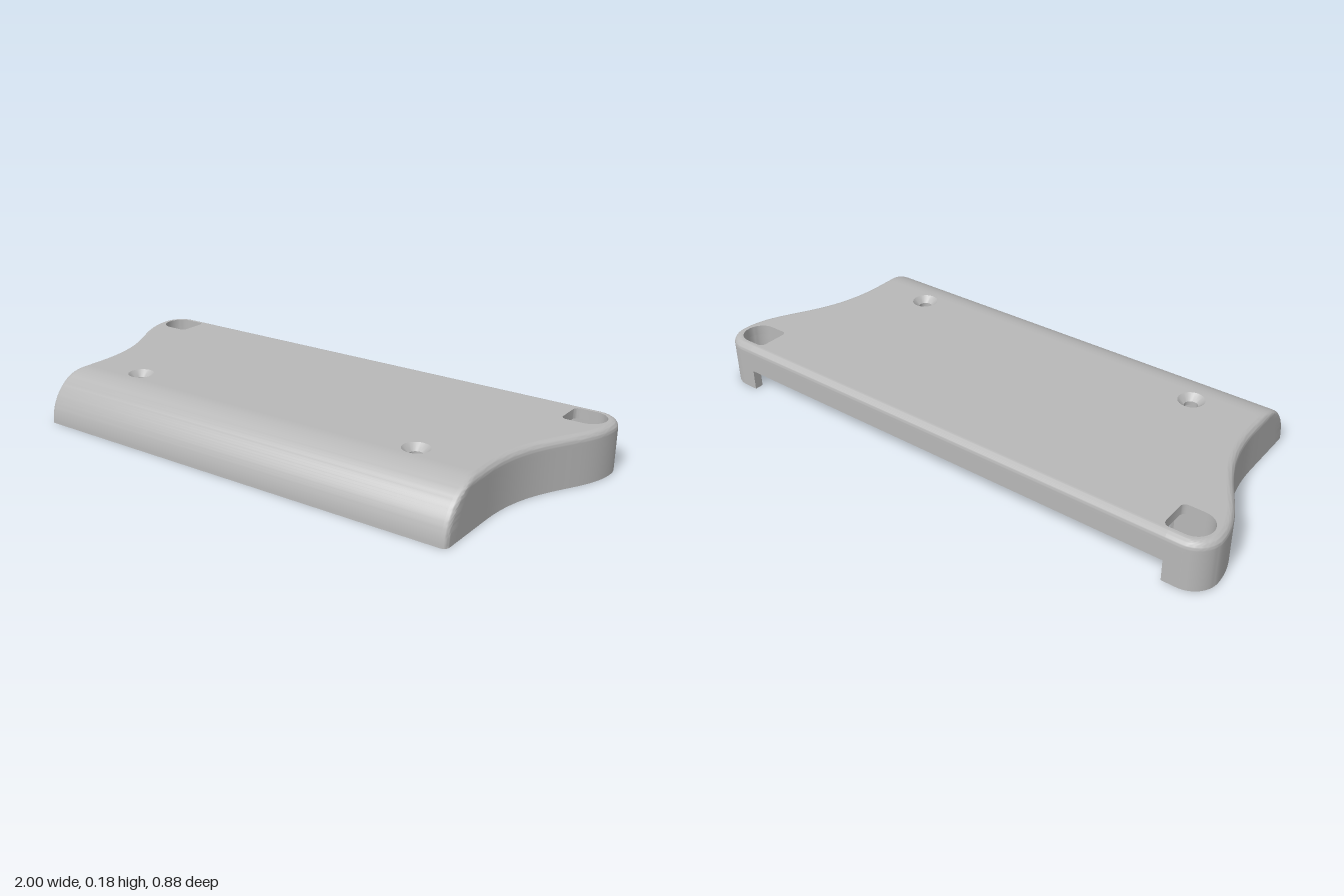
import * as THREE from 'three';
import { toCreasedNormals } from 'three/addons/utils/BufferGeometryUtils.js';

const H = 0.176;        // overall height, also the radius of the rounded front
const CEILING = 0.14;   // underside of the top plate
const EDGE = 0.025;     // rounding of the top edges
const BACK = -0.44, BACK_IN = -0.408;
const SLOT_X = 0.86, SLOT_Y = 0.076;   // opening under the back lip
const SCREW_X = 0.585, SCREW_Z = 0.21, SCREW_R = 0.024, SINK_R = 0.047;

const shellMaterial = new THREE.MeshStandardMaterial({ color: 0xb8b8b8, side: THREE.DoubleSide });
shellMaterial.name = 'light grey';

// Points [x, z] of an arc, angles in degrees
function arc(cx, cz, r, from, to, n = 10) {
  return Array.from({ length: n + 1 }, (_, i) => {
    const a = THREE.MathUtils.degToRad(from + (to - from) * i / n);
    return [cx + r * Math.cos(a), cz + r * Math.sin(a)];
  });
}

const mirror = (points) => points.map(([x, ...rest]) => [-x, ...rest]);
const bothSides = (half) => [...half, ...mirror(half).reverse()];

// Fixed part of the +x outline, from back to front: [x, z, normal x, normal z]
function baseOutline() {
  const points = [[SLOT_X, BACK, 0, -1], [SLOT_X, BACK, 0, -1]];
  for (const [x, z] of arc(0.91, -0.35, 0.09, -90, 0, 14)) {
    points.push([x, z, (x - 0.91) / 0.09, (z + 0.35) / 0.09]);
  }
  const flare = new THREE.CubicBezierCurve(
    new THREE.Vector2(1, -0.35), new THREE.Vector2(1, -0.17),
    new THREE.Vector2(0.83, -0.1), new THREE.Vector2(0.83, 0.2));
  for (let i = 1; i <= 28; i++) {
    const p = flare.getPoint(i / 28), t = flare.getTangent(i / 28);
    points.push([p.x, p.y, t.y, -t.x]);
  }
  return points;
}
const base = baseOutline();

// Closed outline [x, z] at height y, drawn in at the top edge and the round front
function outlineAt(y) {
  const up = Math.max(0, y - (H - EDGE));
  const inset = EDGE - Math.sqrt(Math.max(0, EDGE * EDGE - up * up));
  const front = H * 1.5 + Math.sqrt(Math.max(0, H * H - y * y));
  const half = base.map(([x, z, nx, nz]) => [x - nx * inset, z - nz * inset]);
  const side = 0.83 - inset, corner = 0.02;
  for (let i = 1; i < 5; i++) half.push([side, 0.2 + (front - corner - 0.2) * i / 5]);
  half.push(...arc(side - corner, front - corner, corner, 0, 90, 6));
  return bothSides(half);
}

// Outer skin: outlines stacked from the base to the top face
function skinGeometry() {
  const levels = 28, positions = [], index = [];
  let n = 0;
  for (let k = 0; k <= levels; k++) {
    const y = H * Math.sin(Math.PI / 2 * k / levels);
    const ring = outlineAt(y);
    n = ring.length;
    ring.forEach(([x, z], i) => {
      const overSlot = i === 0 || i === n - 1;
      positions.push(x, overSlot ? Math.max(y, SLOT_Y) : y, z);
    });
  }
  for (let k = 0; k < levels; k++) {
    for (let i = 0; i < n; i++) {
      const a = k * n + i, b = k * n + (i + 1) % n;
      index.push(a, a + n, b, b, a + n, b + n);
    }
  }
  return meshGeometry(positions, index);
}

function meshGeometry(positions, index) {
  const g = new THREE.BufferGeometry();
  g.setAttribute('position', new THREE.Float32BufferAttribute(positions, 3));
  g.setIndex(index);
  return toCreasedNormals(g, 0.6);
}

// Upright wall along a path of [x, z] points
function wall(path, y0, y1) {
  const positions = [], index = [];
  path.forEach(([x, z], i) => {
    positions.push(x, y0, z, x, y1, z);
    if (i) {
      const a = 2 * i - 2;
      index.push(a, a + 2, a + 1, a + 1, a + 2, a + 3);
    }
  });
  return meshGeometry(positions, index);
}

// Level face with holes, facing up or down
function flat(outline, holes, y, up) {
  const s = up ? -1 : 1;
  const vectors = (pts) => pts.map(([x, z]) => new THREE.Vector2(x, s * z));
  const shape = new THREE.Shape(vectors(outline));
  shape.holes = holes.map((h) => new THREE.Path(vectors(h)));
  return new THREE.ShapeGeometry(shape).rotateX(s * Math.PI / 2).translate(0, y, 0);
}

export function createModel() {
  const model = new THREE.Group();
  model.name = 'mountingCover';
  const add = (name, geometry) => {
    const mesh = new THREE.Mesh(geometry, shellMaterial);
    mesh.name = name;
    model.add(mesh);
    return mesh;
  };

  // Corner openings
  const pocketArc = arc(0.907, -0.348, 0.06, -90, 90, 20);
  const pocket = [
    ...pocketArc,
    ...arc(0.853, -0.308, 0.02, 90, 180, 5),
    ...arc(0.853, -0.388, 0.02, 180, 270, 5),
  ];
  const screwHole = (r) => arc(SCREW_X, SCREW_Z, r, 0, 345, 23);

  // Outside
  add('outerSkin', skinGeometry());
  const sink = screwHole(SINK_R);
  add('topFace', flat(outlineAt(H).slice(1, -1), [pocket, mirror(pocket), sink, mirror(sink)], H, true));

  // Hollow underside
  const innerSide = [[0.81, -0.288], [0.79, -0.27], ...arc(0.73, 0.285, 0.06, 0, 90)];
  const recess = bothSides([[SLOT_X, BACK_IN], ...pocketArc, ...innerSide]);
  add('recessWall', wall(recess, 0, CEILING));
  add('bottomRim', flat([...outlineAt(0).slice(1, -1), ...[...recess].reverse()], [], 0, false));
  const through = screwHole(SCREW_R);
  const ceiling = bothSides([[0.833, BACK_IN], [0.833, -0.288], ...innerSide]);
  add('ceiling', flat(ceiling, [through, mirror(through)], CEILING, false));

  // Back lip above the long opening
  add('backLipInside', wall([[-SLOT_X, BACK_IN], [SLOT_X, BACK_IN]], SLOT_Y, CEILING));
  add('backLipUnderside', flat(
    [[-SLOT_X, BACK], [SLOT_X, BACK], [SLOT_X, BACK_IN], [-SLOT_X, BACK_IN]], [], SLOT_Y, false));

  for (const side of [1, -1]) {
    const place = (pts) => (side > 0 ? pts : mirror(pts));
    add('cornerTabEnd', wall(place([[SLOT_X, BACK], [SLOT_X, BACK_IN]]), 0, SLOT_Y));
    add('cornerOpeningWall', wall(place([...pocket, pocket[0]]), CEILING, H));

    // Countersunk screw hole
    const profile = [[SCREW_R, CEILING], [SCREW_R, H - 0.022], [SINK_R, H]];
    const bore = new THREE.LatheGeometry(profile.map(([r, y]) => new THREE.Vector2(r, y)), 24);
    add('screwHole', toCreasedNormals(bore, 0.5)).position.set(side * SCREW_X, 0, SCREW_Z);

    // Low round pad beside the screw hole
    add('innerPad', new THREE.CylinderGeometry(0.036, 0.036, 0.012, 24))
      .position.set(side * 0.72, CEILING - 0.005, SCREW_Z);
  }
  return model;
}
